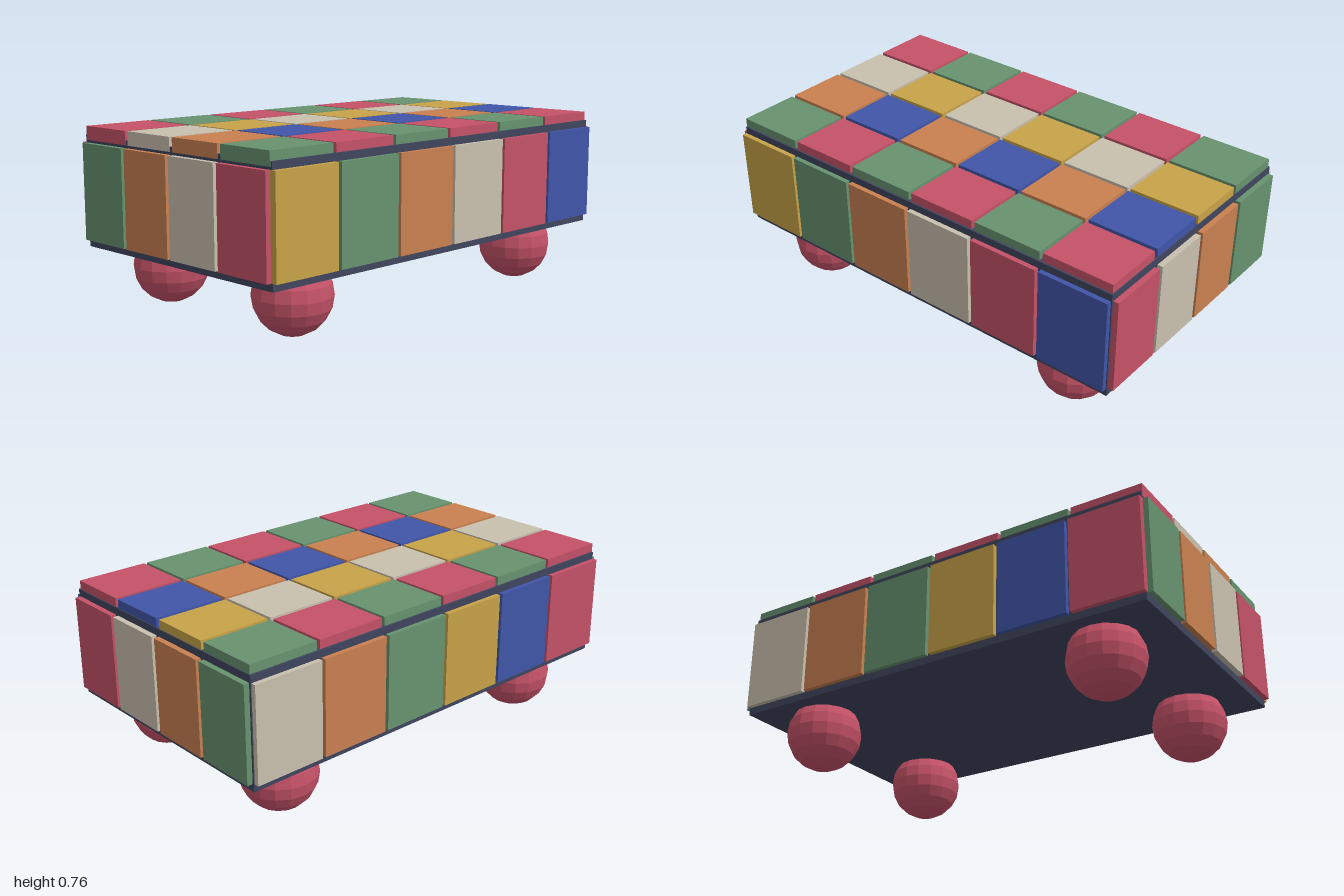
import * as THREE from 'three';

export function createModel() {
  const model = new THREE.Group();
  model.name = 'tiledCart';

  const mat = (name, color, flat = false) => {
    const m = new THREE.MeshStandardMaterial({ color, flatShading: flat });
    m.name = name;
    return m;
  };
  const dark = mat('slate', 0x3f455e);
  const wheelRed = mat('wheelRed', 0xc55268, true);
  const colours = {
    R: mat('red', 0xc55268),
    G: mat('green', 0x68926f),
    B: mat('blue', 0x4055a8),
    Y: mat('yellow', 0xc8a348),
    O: mat('orange', 0xc98050),
    C: mat('cream', 0xc9c0ae),
  };

  const box = (parent, name, size, pos, material) => {
    const mesh = new THREE.Mesh(new THREE.BoxGeometry(...size), material);
    mesh.name = name;
    mesh.position.set(...pos);
    parent.add(mesh);
  };
  const group = (name) => {
    const g = new THREE.Group();
    g.name = name;
    model.add(g);
    return g;
  };

  // Body
  box(model, 'body', [1.952, 0.471, 1.148], [0, 0.4895, 0], dark);

  // Tile grid: six columns along x, four rows along z
  const colX = (i) => (i - 2.5) * 0.3275 - 0.003;
  const rowZ = (j) => (j - 1.5) * 0.2875;
  const tileW = 0.313, tileD = 0.27, tileH = 0.408, sideY = 0.49;

  // Top tiles, back row first
  const top = group('topTiles');
  ['RGRGRG', 'CYCYCY', 'OBOBOB', 'GRGRGR'].forEach((row, j) =>
    [...row].forEach((c, i) =>
      box(top, 'topTile', [tileW, 0.058, tileD], [colX(i), 0.734, rowZ(j)], colours[c])));

  // Front and back tiles, from -x to +x
  const front = group('frontTiles');
  [...'YGOCRB'].forEach((c, i) =>
    box(front, 'frontTile', [tileW, tileH, 0.04], [colX(i), sideY, 0.575], colours[c]));
  const back = group('backTiles');
  [...'RBYGOC'].forEach((c, i) =>
    box(back, 'backTile', [tileW, tileH, 0.04], [colX(i), sideY, -0.575], colours[c]));

  // End tiles, from back to front, same order on both ends
  for (const side of [-1, 1]) {
    const end = group(side > 0 ? 'leftEndTiles' : 'rightEndTiles');
    [...'GOCR'].forEach((c, j) =>
      box(end, 'endTile', [0.05, tileH, tileD], [side * 0.975, sideY, rowZ(j)], colours[c]));
  }

  // Ball wheels
  const ball = new THREE.SphereGeometry(0.162, 16, 10);
  for (const x of [-0.702, 0.702]) {
    for (const z of [-0.379, 0.379]) {
      const wheel = new THREE.Mesh(ball, wheelRed);
      wheel.name = 'ballWheel';
      wheel.position.set(x, 0.164, z);
      model.add(wheel);
    }
  }

  return model;
}
